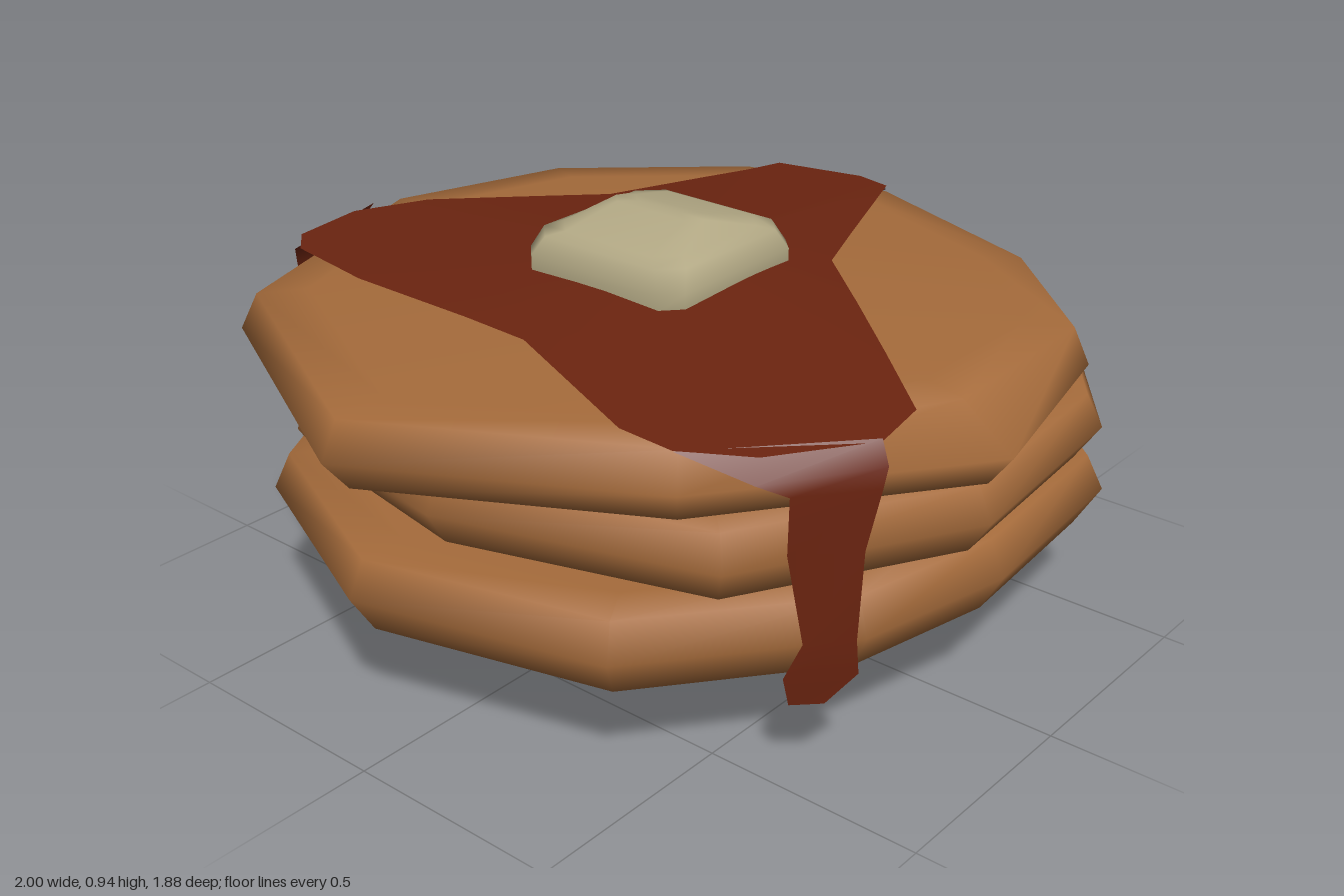
import * as THREE from 'three';
import { mergeVertices } from 'three/addons/utils/BufferGeometryUtils.js';

const V = (x, y, z) => new THREE.Vector3(x, y, z);

// Skin a stack of equal-length rings, lowest (or outermost) ring first.
function loft(rings, closed = true) {
  const n = rings[0].length, pos = [], idx = [];
  rings.forEach(r => r.forEach(p => pos.push(p.x, p.y, p.z)));
  for (let i = 0; i < rings.length - 1; i++) {
    for (let j = 0; j < (closed ? n : n - 1); j++) {
      const a = i * n + j, b = i * n + (j + 1) % n, c = a + n, d = b + n;
      idx.push(a, c, b, b, c, d);
    }
  }
  let geo = new THREE.BufferGeometry();
  geo.setAttribute('position', new THREE.Float32BufferAttribute(pos, 3));
  geo.setIndex(idx);
  geo = mergeVertices(geo, 1e-4);
  geo.computeVertexNormals();
  return geo;
}

// Irregular disc outlines as [x, z]; optional third value pulls the upper rim inward.
const pancakes = [
  { name: 'bottomPancake', y: [0.18, 0.235, 0.325, 0.405, 0.43],
    outline: [[-.92, -.1], [-.7, -.6], [-.3, -.83], [.2, -.92], [.6, -.7], [.86, -.3], [.91, .1],
      [.75, .52], [.48, .82], [0, .86], [-.37, .78], [-.77, .46]] },
  { name: 'middlePancake', y: [0.4, 0.42, 0.5, 0.575, 0.6],
    outline: [[-.79, 0], [-.7, -.5], [-.43, -.8], [.17, -.94], [.65, -.75], [.92, -.4], [1, .08],
      [.83, .53], [.43, .83], [-.1, .88], [-.6, .6]] },
  { name: 'topPancake', y: [0.595, 0.605, 0.68, 0.76, 0.828],
    outline: [[-1, -.05], [-.68, -.69], [-.03, -.92], [.41, -.78], [.75, -.4], [.82, 0],
      [.63, .52], [.34, .83], [-.14, .94, .86], [-.67, .55]] },
];

const ring = (outline, s, y) => outline.map(([x, z]) => V(x * s, y, z * s));
const topRim = p => p.outline.map(([x, z, s = 0.96]) => V(x * s, p.y[3], z * s));

function pancakeGeometry(p) {
  const [y0, y1, y2, y3, y4] = p.y, rim = topRim(p);
  const inner = rim.map(v => V(0, y4, 0).lerp(v, 0.88));
  return loft([
    ring(p.outline, 0, y0),
    ring(p.outline, 0.82, y0 + (y1 - y0) * 0.88),
    ring(p.outline, 0.94, y1),
    ring(p.outline, 1, y2),
    rim, inner,
    ring(p.outline, 0, y4),
  ]);
}

// Height of the top pancake's upper face at (x, z).
function topHeight(x, z) {
  const p = pancakes[2], rim = topRim(p), y4 = p.y[4];
  for (let i = 0; i < rim.length; i++) {
    const a = rim[i], b = rim[(i + 1) % rim.length];
    const det = a.x * b.z - a.z * b.x;
    const u = (x * b.z - z * b.x) / det, v = (a.x * z - a.z * x) / det;
    if (u >= -1e-6 && v >= -1e-6) return y4 + (u + v) * (p.y[3] - y4);
  }
  return y4;
}

// Three-armed syrup puddle draped over the top pancake.
function syrupGeometry() {
  const outline = [[-.43, -.78], [-.36, -.86], [-.18, -.88], [-.03, -.78], [.24, -.43], [.65, -.33],
    [.77, -.32], [.82, -.1], [.79, 0], [.2, .26], [-.24, .78], [-.38, .8], [-.58, .67], [-.67, .54],
    [-.67, .41], [-.53, .03], [-.5, -.5]];
  const pts = [];
  outline.forEach(([x, z], i) => {
    const [u, w] = outline[(i + 1) % outline.length];
    for (let k = 0; k < 3; k++) pts.push([x + (u - x) * k / 3, z + (w - z) * k / 3]);
  });
  const cx = -0.05;
  return loft([1, 0.75, 0.5, 0.25, 0].map(s => pts.map(([x, z]) => {
    const px = cx + (x - cx) * s, pz = z * s;
    return V(px, topHeight(px, pz) + 0.014, pz);
  })));
}

// Drips: rows of [x, y, z, x, y, z] from the lip to the tip.
const drips = {
  frontDrip: [
    [-.38, .77, .8, -.67, .77, .54], [-.385, .72, .82, -.59, .71, .67], [-.4, .68, .82, -.54, .68, .71],
    [-.42, .55, .8, -.53, .55, .7], [-.42, .35, .79, -.5, .35, .72],
    [-.41, .27, .79, -.52, .27, .69], [-.45, .2, .74, -.5, .2, .69]],
  leftDrip: [
    [.77, .765, -.33, .79, .765, 0], [.82, .69, -.29, .83, .69, -.12], [.85, .6, -.28, .86, .6, -.13],
    [.93, .57, -.28, .95, .57, -.14], [.965, .5, -.28, .98, .5, -.14], [.965, .37, -.26, .965, .37, -.15],
    [.96, .25, -.28, .96, .25, -.13], [.95, .16, -.25, .95, .16, -.17]],
  backDrip: [
    [-.43, .765, -.8, -.1, .765, -.9], [-.38, .7, -.86, -.2, .7, -.89], [-.36, .6, -.87, -.22, .6, -.89],
    [-.35, .42, -.86, -.24, .42, -.875], [-.35, .25, -.865, -.25, .25, -.87],
    [-.39, .1, -.865, -.215, .1, -.865], [-.3, 0, -.865, -.3, 0, -.865]],
};

// Soft pat of butter: chamfered square closing to a short ridge.
function butterGeometry() {
  const square = (hx, hz, c, y) => [[-hx, hz - c], [-hx, c - hz], [c - hx, -hz], [hx - c, -hz],
    [hx, c - hz], [hx, hz - c], [hx - c, hz], [c - hx, hz]].map(([x, z]) => V(x - 0.053, y, z - 0.02));
  return loft([
    square(.215, .22, .04, .815), square(.215, .22, .04, .85),
    square(.2, .202, .05, .895), square(.17, .17, .05, .907),
    square(.03, .125, .03, .942), square(0, .06, 0, .943),
    square(0, 0, 0, .943),
  ]);
}

export function createModel() {
  const mat = (name, color, side = THREE.FrontSide) => {
    const m = new THREE.MeshStandardMaterial({ color, side });
    m.name = name;
    return m;
  };
  const batter = mat('golden brown', 0xa56b3b);
  const syrup = mat('dark syrup', 0x6b2410, THREE.DoubleSide);
  const butter = mat('pale butter', 0xb3a985);

  const group = new THREE.Group();
  group.name = 'pancakeStack';
  const add = (name, geo, material) => {
    const mesh = new THREE.Mesh(geo, material);
    mesh.name = name;
    group.add(mesh);
  };

  pancakes.forEach(p => add(p.name, pancakeGeometry(p), batter));
  add('syrupPuddle', syrupGeometry(), syrup);
  for (const [name, rows] of Object.entries(drips)) {
    // Tip first, so the strip faces outward.
    const rings = rows.map(r => [V(r[0], r[1], r[2]), V(r[3], r[4], r[5])]).reverse();
    add(name, loft(rings, false), syrup);
  }
  add('butterPat', butterGeometry(), butter);
  return group;
}
